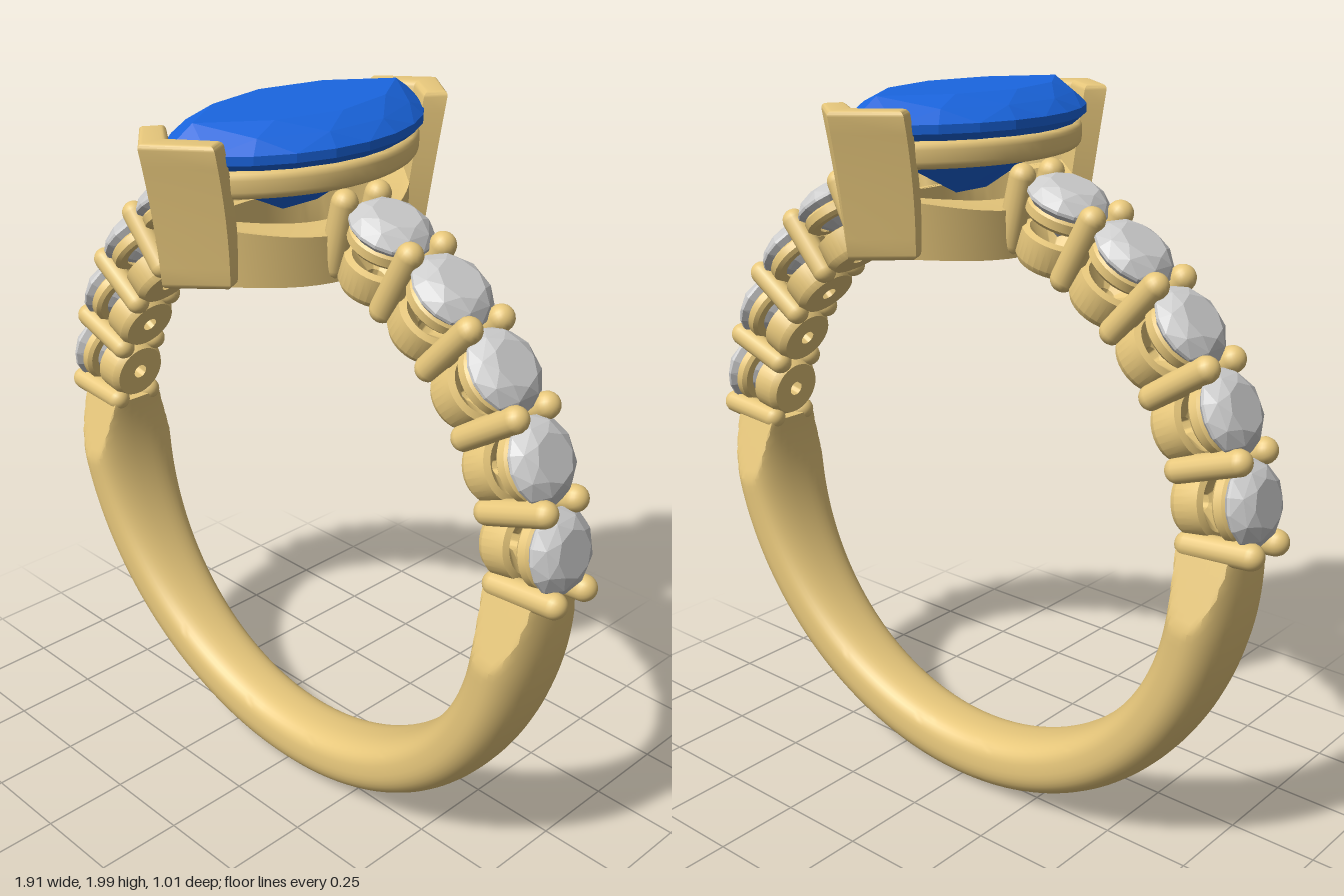
import * as THREE from 'three';
import { toCreasedNormals } from 'three/addons/utils/BufferGeometryUtils.js';
import { ConvexGeometry } from 'three/addons/geometries/ConvexGeometry.js';

const CY = 0.9, INNER = 0.72; // finger hole centre height and radius
const gold = new THREE.MeshStandardMaterial({ color: 0xe8c87c });
const blue = new THREE.MeshStandardMaterial({ color: 0x1a66e0 });
const clear = new THREE.MeshStandardMaterial({ color: 0xcccccc });
const rad = THREE.MathUtils.degToRad;

function add(parent, name, geo, mat) {
  const mesh = new THREE.Mesh(geo, mat);
  mesh.name = name;
  parent.add(mesh);
  return mesh;
}

// Pointed oval made of two arcs, half width a (x) and half length b
function marquise(a, b, n) {
  const R = (a * a + b * b) / (2 * a), half = Math.asin(b / R), pts = [];
  for (const s of [1, -1])
    for (let i = 0; i < n; i++) {
      const t = half * (2 * i / n - 1);
      pts.push(new THREE.Vector2(s * (R * Math.cos(t) - R + a), s * R * Math.sin(t)));
    }
  return pts;
}

const circle = (n, turn = 0) => Array.from({ length: n }, (_, i) => {
  const t = (i + turn) / n * Math.PI * 2;
  return new THREE.Vector2(Math.cos(t), Math.sin(t));
});

// Faceted stone: each layer is [outline, scale, height]
function stone(layers) {
  const pts = [];
  for (const [outline, s, y] of layers)
    for (const p of outline) pts.push(new THREE.Vector3(p.x * s, y, p.y * s));
  return new ConvexGeometry(pts);
}

// Marquise frame with rounded edges, standing from y to y + height
function frame(outer, inner, y, height, bevel) {
  const shape = new THREE.Shape(outer);
  shape.holes.push(new THREE.Path(inner));
  const geo = new THREE.ExtrudeGeometry(shape, {
    depth: height - 2 * bevel, bevelEnabled: bevel > 0, bevelSize: bevel, bevelThickness: bevel, bevelSegments: 4,
  });
  geo.rotateX(-Math.PI / 2);
  geo.translate(0, y + bevel, 0);
  return geo;
}

// Lower band: rounded section swept round the finger, widening upward, with tapered shoulders
function shankGeometry() {
  const N = 110, M = 40, pos = [], idx = [];
  const pw = (v, e) => Math.sign(v) * Math.abs(v) ** e;
  for (let i = 0; i <= N + 2; i++) {
    const cap = i === 0 || i === N + 2;
    const k = Math.min(Math.max(i - 1, 0), N) / N;
    const t = rad(-185 + 190 * k);
    const yc = CY + 0.8 * Math.sin(t);
    const w = 0.095 + 0.052 * Math.min(1, Math.max(0, (yc - 0.1) / 0.67)) ** 0.9;
    for (let j = 0; j < M; j++) {
      const s = j / M * Math.PI * 2, c = Math.cos(s);
      const r = 0.805 + (cap ? 0 : 0.085 * pw(c, c > 0 ? 0.95 : 0.6));
      const y = CY + r * Math.sin(t);
      const limit = 0.147 - 0.33 * Math.max(0, y - 0.77);
      const z = cap ? 0 : THREE.MathUtils.clamp(w * pw(Math.sin(s), 0.85), -limit, limit);
      pos.push(r * Math.cos(t), y, z);
    }
  }
  for (let i = 0; i < N + 2; i++)
    for (let j = 0; j < M; j++) {
      const a = i * M + j, b = i * M + (j + 1) % M;
      idx.push(a, a + M, b, b, a + M, b + M);
    }
  const geo = new THREE.BufferGeometry();
  geo.setAttribute('position', new THREE.Float32BufferAttribute(pos, 3));
  geo.setIndex(idx);
  return toCreasedNormals(geo, 0.5);
}

// V-shaped end prong, leaning outward and widening toward the top
function vProngGeometry() {
  const b = 0.014;
  const shape = new THREE.Shape([[0, 0.492], [-0.118, 0.395], [-0.1, 0.362], [0, 0.437], [0.1, 0.362], [0.118, 0.395]]
    .map(([x, z]) => new THREE.Vector2(x, -z)));
  const geo = new THREE.ExtrudeGeometry(shape, {
    depth: 0.36 - 2 * b, steps: 8, bevelSize: b, bevelThickness: b, bevelSegments: 4,
  });
  geo.rotateX(-Math.PI / 2);
  geo.translate(0, 1.62 + b, 0);
  const p = geo.attributes.position;
  for (let i = 0; i < p.count; i++) {
    const d = (1.98 - p.getY(i)) / 0.36;
    p.setX(i, p.getX(i) * (1 - 0.13 * d * d));
    p.setZ(i, p.getZ(i) - 0.085 * d + 0.028 * d * d);
  }
  return toCreasedNormals(geo, 0.5);
}

function lathe(profile) {
  const pts = profile.map(([x, y]) => new THREE.Vector2(x, y));
  return toCreasedNormals(new THREE.LatheGeometry(pts, 32), 0.6);
}

export function createModel() {
  const ring = new THREE.Group();
  ring.name = 'ring';
  add(ring, 'shank', shankGeometry(), gold);

  // Shared shoulder geometries; local +y points away from the finger
  const cup = lathe([[0.022, 0.765], [0.022, 0.722], [0.08, 0.722], [0.092, 0.74], [0.092, 0.805],
    [0.075, 0.812], [0.022, 0.765]]);
  const collar = lathe([[0.066, 0.846], [0.09, 0.846], [0.1, 0.856], [0.1, 0.878], [0.092, 0.886],
    [0.08, 0.886], [0.066, 0.846]]);
  const accent = stone([[circle(8), 0.062, 0.947], [circle(8, 0.5), 0.09, 0.932], [circle(16), 0.109, 0.907],
    [circle(16), 0.109, 0.899], [circle(8, 0.5), 0.055, 0.845], [[new THREE.Vector2()], 1, 0.8]]);
  const prong = new THREE.CapsuleGeometry(0.034, 0.957 - 0.715 - 0.068, 8, 16);
  prong.translate(0, (0.957 + 0.715) / 2, 0);

  // Both shoulders: prong pairs with a set stone between each
  for (const side of [1, -1]) {
    const shoulder = new THREE.Group();
    shoulder.name = side > 0 ? 'leftShoulder' : 'rightShoulder';
    shoulder.position.y = CY;
    ring.add(shoulder);
    for (let i = 0; i < 6; i++) {
      const angle = 5 + 14.3 * i;
      for (const z of [-0.058, 0.058]) {
        const m = add(shoulder, 'accentProng', prong, gold);
        m.position.z = z;
        m.rotation.z = -side * rad(90 - angle);
      }
      if (i === 5) continue;
      const setting = new THREE.Group();
      setting.name = 'accentSetting';
      setting.rotation.z = -side * rad(90 - angle - 7.15);
      add(setting, 'accentCup', cup, gold);
      add(setting, 'accentCollar', collar, gold);
      add(setting, 'accentStone', accent, clear);
      shoulder.add(setting);
    }
  }

  // Lower gallery, bent to follow the finger hole
  const gallery = frame(marquise(0.2, 0.4, 24), marquise(0.125, 0.29, 24), CY + INNER, 0.12, 0);
  const g = gallery.attributes.position;
  for (let i = 0; i < g.count; i++) {
    const x = g.getX(i), z = g.getZ(i);
    const lift = g.getY(i) > 1.7 ? 0.2 * z * z : 0;
    g.setY(i, g.getY(i) + Math.sqrt(INNER * INNER - x * x) - INNER + lift);
  }
  add(ring, 'lowerGallery', toCreasedNormals(gallery, 0.5), gold);

  // Upper gallery under the centre stone
  const upper = frame(marquise(0.212, 0.39, 24), marquise(0.165, 0.31, 24), 1.832, 0.068, 0.02);
  add(ring, 'upperGallery', toCreasedNormals(upper, 0.7), gold);

  // Centre stone: table, crown, girdle, pavilion and keel
  add(ring, 'centreStone', stone([
    [marquise(0.15, 0.345, 4), 1, 2.0],
    [marquise(0.205, 0.39, 5), 1, 1.972],
    [marquise(0.24, 0.43, 10), 1, 1.94],
    [marquise(0.24, 0.43, 10), 1, 1.918],
    [marquise(0.14, 0.25, 4), 1, 1.825],
    [[new THREE.Vector2(0, 0.06), new THREE.Vector2(0, -0.06)], 1, 1.735],
  ]), blue);

  // End prongs front and back
  const vProng = vProngGeometry();
  add(ring, 'frontProng', vProng, gold);
  add(ring, 'backProng', vProng, gold).rotation.y = Math.PI;
  return ring;
}
